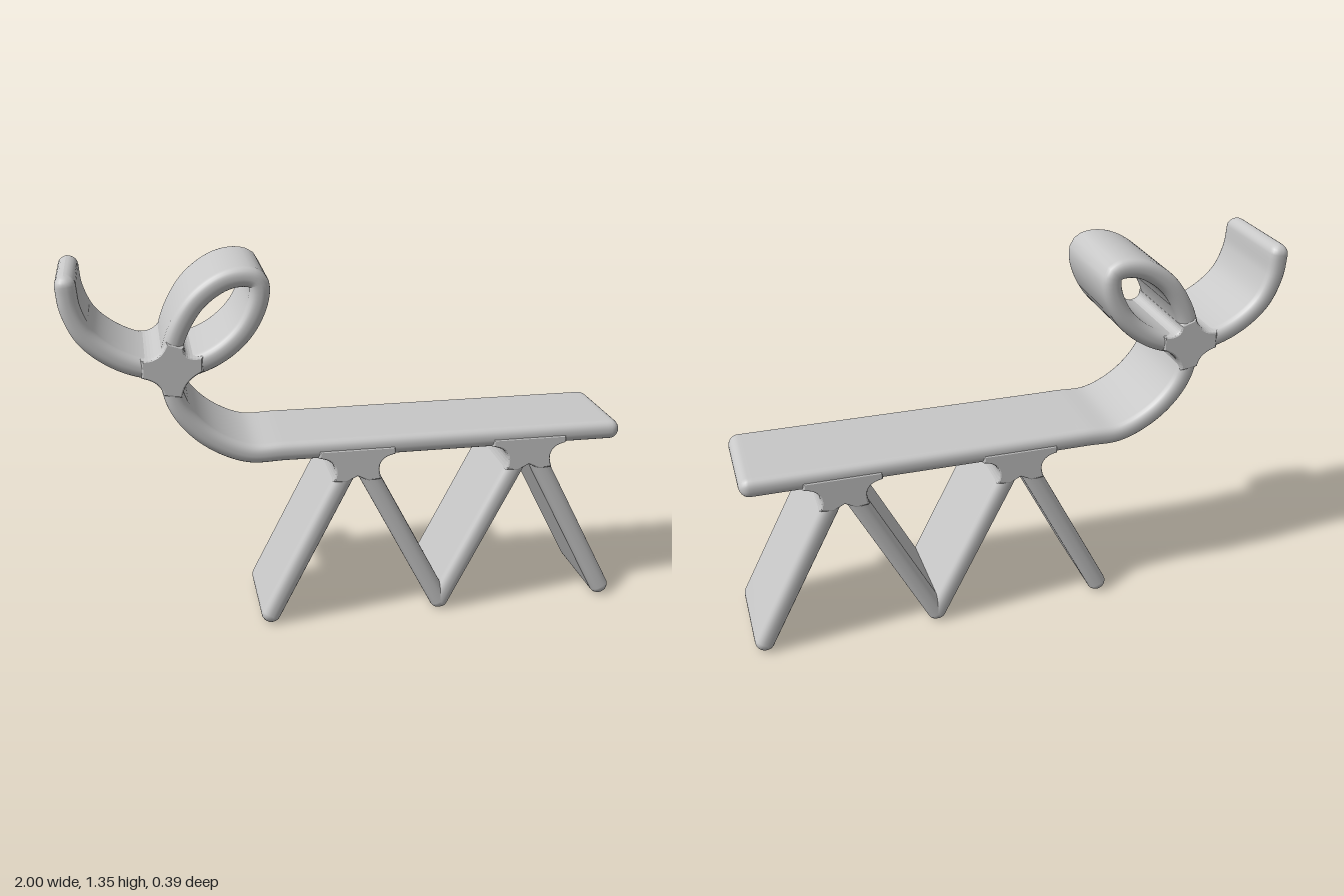
import * as THREE from 'three';

const HALF_T = 0.035; // half thickness of the band
const HALF_W = 0.191; // half width of the band
const CORNER = 0.03;

// Rounded-rectangle cross-section as [across thickness, across width]
function bandSection() {
  const pts = [];
  const corners = [[1, 1], [-1, 1], [-1, -1], [1, -1]];
  corners.forEach(([su, sw], q) => {
    for (let k = 0; k <= 5; k++) {
      const a = (q + k / 5) * Math.PI / 2;
      pts.push([
        su * (HALF_T - CORNER) + CORNER * Math.cos(a),
        sw * (HALF_W - CORNER) + CORNER * Math.sin(a),
      ]);
    }
  });
  return pts;
}

// Sweeps the section along a path in the xy plane, with rounded ends
function bandGeometry(path, steps) {
  const section = bandSection();
  const m = section.length;
  const rings = [];
  const capSteps = 6;
  const cap = (u, sign) => {
    const p = path.getPointAt(u), t = path.getTangentAt(u);
    const list = [];
    for (let k = 1; k <= capSteps; k++) {
      const a = k / capSteps * Math.PI / 2;
      list.push({
        p: p.clone().addScaledVector(t, sign * HALF_T * Math.sin(a)), t,
        su: Math.cos(a), sw: 1 - 0.2 * (1 - Math.cos(a)),
      });
    }
    return list;
  };
  rings.push(...cap(0, -1).reverse());
  for (let i = 0; i <= steps; i++) {
    const u = i / steps;
    rings.push({ p: path.getPointAt(u), t: path.getTangentAt(u), su: 1, sw: 1 });
  }
  rings.push(...cap(1, 1));

  const pos = [], index = [];
  rings.forEach(({ p, t, su, sw }, i) => {
    section.forEach(([u, w], j) => {
      pos.push(p.x - t.y * u * su, p.y + t.x * u * su, w * sw);
      if (i === rings.length - 1) return;
      const a = i * m + j, b = i * m + (j + 1) % m;
      index.push(a, b, a + m, b, b + m, a + m);
    });
  });
  const g = new THREE.BufferGeometry();
  g.setAttribute('position', new THREE.Float32BufferAttribute(pos, 3));
  g.setIndex(index);
  g.computeVertexNormals();
  return g;
}

// Filled joint, slightly proud of the band edges
function jointGeometry(shape) {
  const bevel = 0.02, depth = 2 * (HALF_W + 0.003) - 2 * bevel;
  const g = new THREE.ExtrudeGeometry(shape, {
    depth, curveSegments: 10, bevelEnabled: true, bevelThickness: bevel,
    bevelSize: 0.008, bevelOffset: -0.008, bevelSegments: 3,
  });
  return g.translate(0, 0, -depth / 2);
}

export function createModel() {
  const model = new THREE.Group();
  model.name = 'looped ribbon bench';
  const grey = new THREE.MeshStandardMaterial({ color: 0xc8c8c8 });
  grey.name = 'light grey';
  const add = (name, geometry, x = 0) => {
    const mesh = new THREE.Mesh(geometry, grey);
    mesh.name = name;
    mesh.position.x = x;
    model.add(mesh);
  };

  // Seat, neck, loop and upturned tip as one continuous band
  const line = [
    [0.955, 0.685], [0.3, 0.685], [-0.25, 0.685], [-0.39, 0.688],
    [-0.525, 0.757], [-0.613, 0.86], [-0.642, 0.96], [-0.637, 1.06],
    [-0.603, 1.155], [-0.54, 1.245], [-0.447, 1.306], [-0.37, 1.315],
    [-0.337, 1.298], [-0.335, 1.24], [-0.385, 1.135], [-0.48, 1.052],
    [-0.6, 1.01], [-0.72, 1.015], [-0.83, 1.06], [-0.915, 1.135],
    [-0.957, 1.23], [-0.966, 1.308],
  ].map(([x, y]) => new THREE.Vector3(x, y, 0));
  const curve = new THREE.CatmullRomCurve3(line);
  curve.arcLengthDivisions = 800;
  add('seat and looped head', bandGeometry(curve, 200));

  // Zigzag legs
  const feet = [-0.32, 0.32, 0.32, 0.96], tops = [0, 0, 0.64, 0.64];
  feet.forEach((x, i) => {
    const leg = new THREE.LineCurve3(
      new THREE.Vector3(x, 0.04, 0), new THREE.Vector3(tops[i], 0.66, 0));
    add('leg ' + (i + 1), bandGeometry(leg, 8));
  });

  // Fillets where the legs meet the seat
  const legJoint = new THREE.Shape();
  legJoint.moveTo(-0.14, 0.652);
  legJoint.quadraticCurveTo(-0.06, 0.642, -0.09, 0.56);
  legJoint.lineTo(-0.04, 0.555);
  legJoint.lineTo(0, 0.575);
  legJoint.lineTo(0.04, 0.555);
  legJoint.lineTo(0.09, 0.56);
  legJoint.quadraticCurveTo(0.06, 0.642, 0.14, 0.652);
  legJoint.lineTo(0.14, 0.685);
  legJoint.lineTo(-0.14, 0.685);
  for (const x of [0, 0.64]) add('leg joint', jointGeometry(legJoint), x);

  // Fillets where the band crosses itself
  const crossing = new THREE.Shape();
  crossing.moveTo(-0.67, 0.92);
  crossing.lineTo(-0.605, 0.91);
  crossing.quadraticCurveTo(-0.6, 0.97, -0.53, 1.0);
  crossing.lineTo(-0.53, 1.055);
  crossing.quadraticCurveTo(-0.6, 1.045, -0.592, 1.09);
  crossing.lineTo(-0.652, 1.11);
  crossing.quadraticCurveTo(-0.675, 1.045, -0.74, 1.053);
  crossing.lineTo(-0.74, 0.985);
  crossing.quadraticCurveTo(-0.675, 0.97, -0.67, 0.92);
  add('crossing joint', jointGeometry(crossing));

  return model;
}
